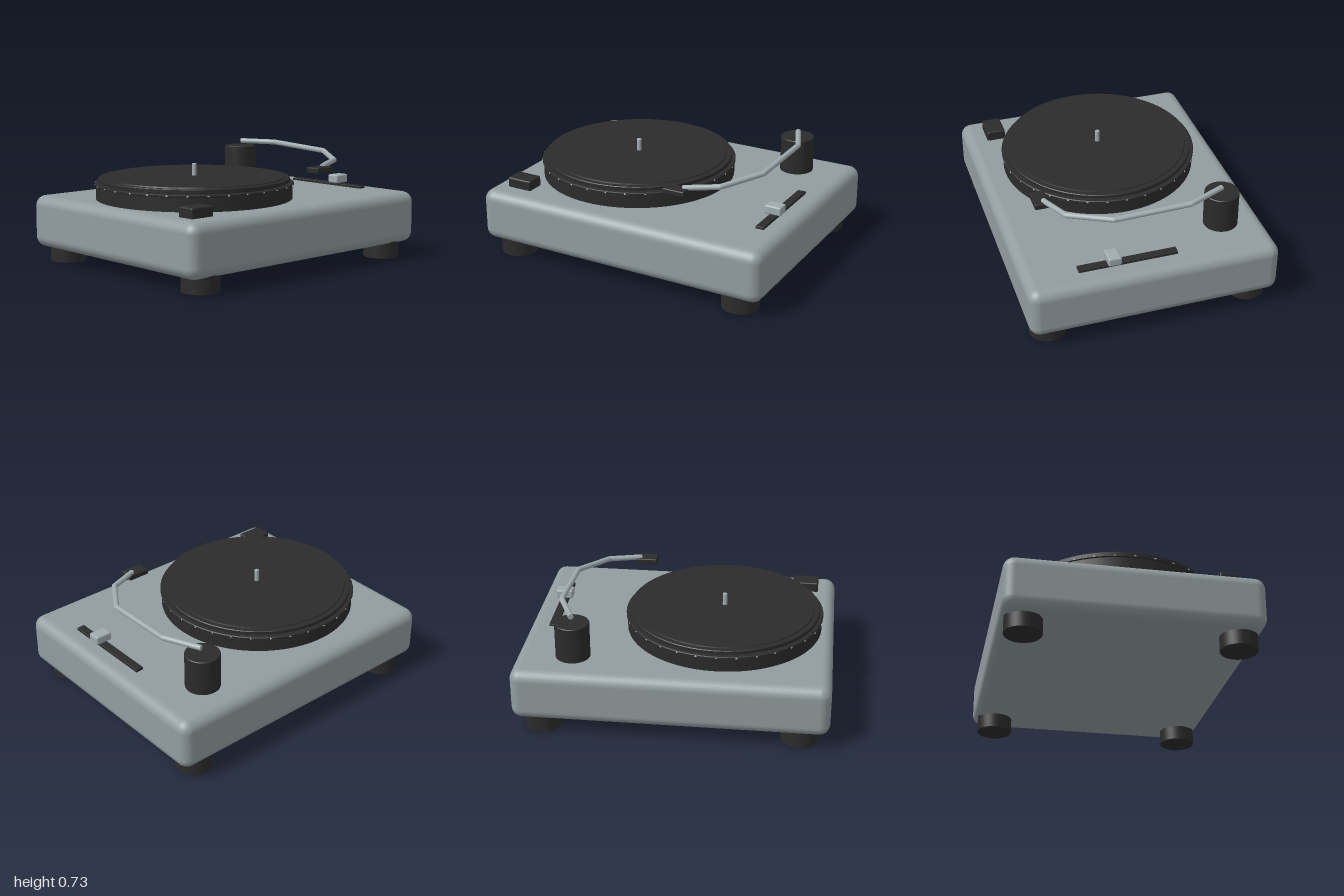
import * as THREE from 'three';
import { toCreasedNormals } from 'three/addons/utils/BufferGeometryUtils.js';
import { RoundedBoxGeometry } from 'three/addons/geometries/RoundedBoxGeometry.js';

const mat = (name, color) => {
  const m = new THREE.MeshStandardMaterial({ color });
  m.name = name;
  return m;
};

export function createModel() {
  const shell = mat('grey shell', 0x929c9f);
  const black = mat('black', 0x2b2b2b);
  const metal = mat('light metal', 0xa0abaf);
  const dotMat = mat('pale dots', 0xc4c8c8);

  const root = new THREE.Group();
  root.name = 'turntable';

  const add = (name, geo, material, x, y, z, parent = root) => {
    const mesh = new THREE.Mesh(geo, material);
    mesh.name = name;
    mesh.position.set(x, y, z);
    parent.add(mesh);
    return mesh;
  };
  // Box given by its extents, with softened edges
  const box = (name, material, x0, x1, y0, y1, z0, z1, r = 0.008) =>
    add(name, new RoundedBoxGeometry(x1 - x0, y1 - y0, z1 - z0, 4, r), material,
      (x0 + x1) / 2, (y0 + y1) / 2, (z0 + z1) / 2);
  // Upright turned part from [radius, height] pairs
  const turned = (name, points, material, x, z, segments = 64) => {
    const geo = new THREE.LatheGeometry(points.map(p => new THREE.Vector2(...p)), segments);
    return add(name, toCreasedNormals(geo, 0.5), material, x, 0, z);
  };
  const bevelled = (r, y0, y1, b) =>
    [[0, y0], [r - b, y0], [r, y0 + b], [r, y1 - b], [r - b, y1], [0, y1]];

  // Plinth
  box('plinth', shell, -1, 1, 0.1, 0.44, -0.805, 0.805, 0.07);

  // Feet
  for (const sx of [-1, 1]) for (const sz of [-1, 1])
    turned('foot', bevelled(0.118, 0, 0.12, 0.005), black, sx * 0.815, sz * 0.66, 48);

  // Platter, record and spindle
  const px = -0.28;
  turned('platter', [[0, 0.435], [0.638, 0.435], [0.638, 0.528], [0.646, 0.532],
    [0.646, 0.541], [0.64, 0.545], [0, 0.545]], black, px, 0, 96);
  turned('record', [[0, 0.54], [0.61, 0.54], [0.61, 0.55], [0.622, 0.553], [0.622, 0.572],
    [0.618, 0.576], [0.587, 0.576], [0.584, 0.583], [0, 0.583]], black, px, 0, 96);
  turned('spindle', bevelled(0.015, 0.57, 0.663, 0.003), metal, px, 0, 16);

  // Strobe dots around the platter rim
  const dots = new THREE.Group();
  dots.name = 'strobeDots';
  dots.position.set(px, 0.537, 0);
  root.add(dots);
  const dotGeo = new THREE.BoxGeometry(0.01, 0.007, 0.006);
  for (let i = 0; i < 32; i++) {
    const a = i / 32 * Math.PI * 2;
    add('strobeDot', dotGeo, dotMat, Math.sin(a) * 0.646, 0, Math.cos(a) * 0.646, dots).rotation.y = a;
  }

  // Tonearm post
  turned('armPost', bevelled(0.11, 0.435, 0.675, 0.004), black, 0.635, -0.535, 48);

  // Bent tonearm: straight rods with rounded joints
  const arm = new THREE.Group();
  arm.name = 'tonearm';
  root.add(arm);
  const path = [[0.64, 0.708, -0.53], [0.745, 0.708, -0.29], [0.73, 0.686, 0.2],
    [0.56, 0.656, 0.455], [0.35, 0.64, 0.545]].map(p => new THREE.Vector3(...p));
  const armR = 0.018;
  const up = new THREE.Vector3(0, 1, 0);
  path.forEach((p, i) => {
    if (i > 0 && i < path.length - 1)
      add('armJoint', new THREE.SphereGeometry(armR, 16, 12), metal, p.x, p.y, p.z, arm);
    if (i === path.length - 1) return;
    const dir = path[i + 1].clone().sub(p);
    const mid = p.clone().addScaledVector(dir, 0.5);
    add('armRod', new THREE.CylinderGeometry(armR, armR, dir.length(), 16), metal, mid.x, mid.y, mid.z, arm)
      .quaternion.setFromUnitVectors(up, dir.normalize());
  });
  box('headshell', black, 0.24, 0.39, 0.602, 0.64, 0.51, 0.607);

  // Pitch slider
  box('sliderTrack', black, 0.81, 0.865, 0.43, 0.456, -0.17, 0.465, 0.004);
  box('sliderStem', black, 0.812, 0.862, 0.44, 0.47, 0.215, 0.27, 0.004);
  box('sliderKnob', metal, 0.78, 0.893, 0.46, 0.518, 0.2, 0.285, 0.012);

  // Start button
  box('startButton', black, -0.883, -0.71, 0.43, 0.505, 0.54, 0.665, 0.012);

  return root;
}
